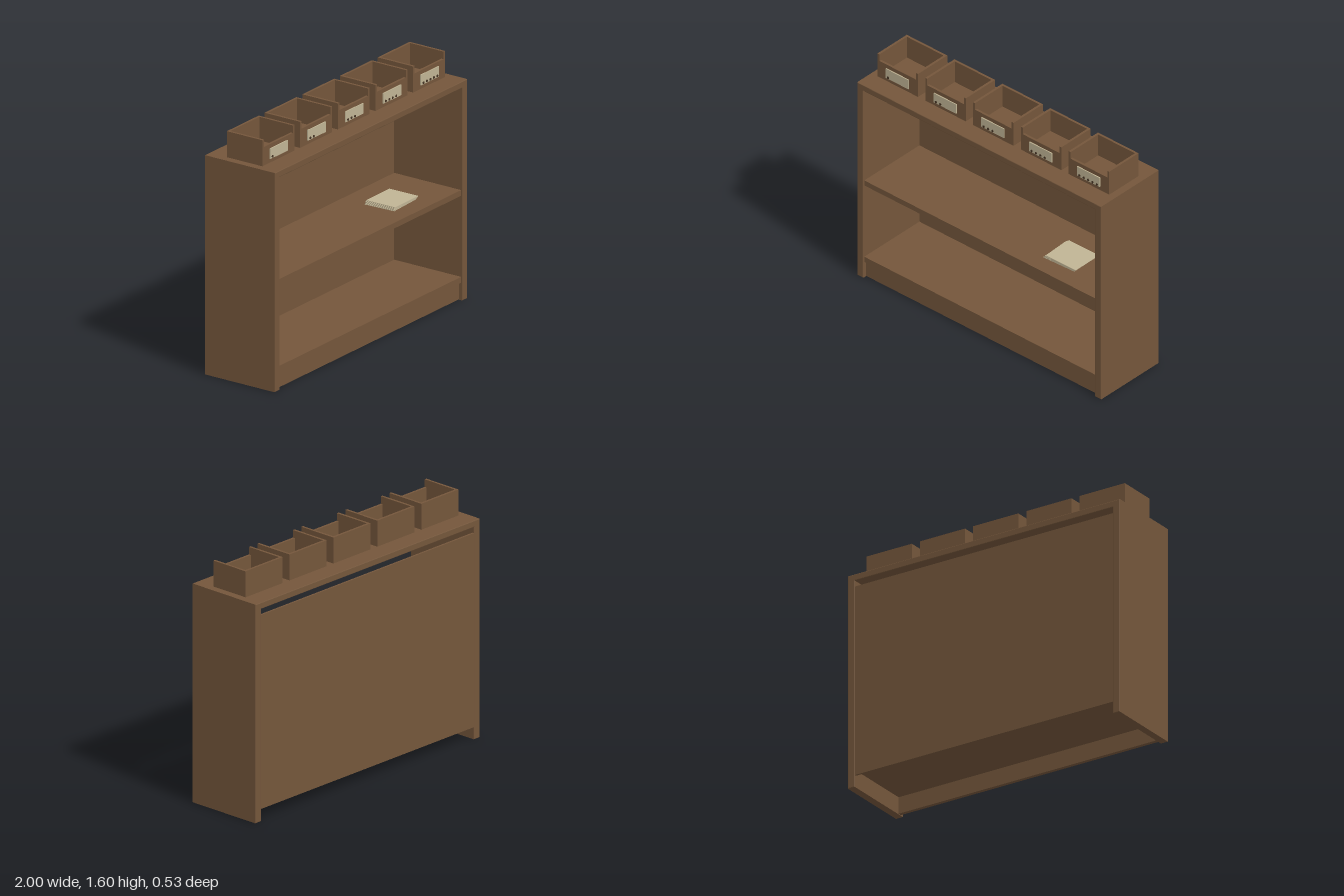
import * as THREE from 'three';

const wood = new THREE.MeshStandardMaterial({ color: 0x74563b });
wood.name = 'wood';
const paper = new THREE.MeshStandardMaterial({ color: 0xc0b494 });
paper.name = 'paper';
const ink = new THREE.MeshStandardMaterial({ color: 0x453424 });
ink.name = 'ink';

// Box given by its lower and upper corners
function block(name, material, x0, x1, y0, y1, z0, z1) {
  const mesh = new THREE.Mesh(new THREE.BoxGeometry(x1 - x0, y1 - y0, z1 - z0), material);
  mesh.position.set((x0 + x1) / 2, (y0 + y1) / 2, (z0 + z1) / 2);
  mesh.name = name;
  return mesh;
}

// Sides and top as one arch with finely bevelled edges
function createFrame() {
  const b = 0.004, W = 1 - b, H = 1.432 - b, inX = 0.95 + b, inY = 1.39 + b;
  const outline = [[-W, b], [-inX, b], [-inX, inY], [inX, inY], [inX, b], [W, b], [W, H], [-W, H]];
  const shape = new THREE.Shape(outline.map(([x, y]) => new THREE.Vector2(x, y)));
  const depth = 0.53 - 2 * b;
  const geometry = new THREE.ExtrudeGeometry(shape, {
    depth, bevelEnabled: true, bevelThickness: b, bevelSize: b, bevelSegments: 2,
  });
  geometry.translate(0, 0, -depth / 2);
  const mesh = new THREE.Mesh(geometry, wood);
  mesh.name = 'frame';
  return mesh;
}

// Open box with a lowered front, a label and a count of dots
function createBin(count) {
  const bin = new THREE.Group();
  const w = 0.166, d = 0.134, t = 0.016, y0 = 1.432, y1 = 1.602;
  bin.add(
    block('binFloor', wood, -w + t, w - t, y0, y0 + t, -d + t, d - t),
    block('binBack', wood, -w + t, w - t, y0, y1, -d, -d + t),
    block('binFront', wood, -w + t, w - t, y0, 1.553, d - t, d),
    block('binSideRight', wood, -w, -w + t, y0, y1, -d, d),
    block('binSideLeft', wood, w - t, w, y0, y1, -d, d),
    block('label', paper, -0.093, 0.093, 1.458, 1.526, d, d + 0.007),
  );
  for (let i = 0; i < count; i++) {
    const dot = new THREE.Mesh(new THREE.CylinderGeometry(0.008, 0.008, 0.004, 12), ink);
    dot.rotation.x = Math.PI / 2;
    dot.position.set(-0.071 + i * 0.036, 1.47, d + 0.009);
    dot.name = 'dot';
    bin.add(dot);
  }
  bin.name = 'bin' + count;
  return bin;
}

// Pile of thin sheets, each slipped a little over the one below
function createPaperStack() {
  const stack = new THREE.Group();
  const n = 8, t = 0.0025;
  for (let i = 0; i < n; i++) {
    const sheet = block('sheet', paper, -0.122, 0.122, i * t, (i + 1) * t, -0.108, 0.108);
    sheet.position.x = (i / (n - 1) - 0.5) * 0.02;
    sheet.rotation.y = 0.05 - i * 0.006;
    stack.add(sheet);
  }
  stack.position.set(0.54, 0.72, 0.025);
  stack.name = 'paperStack';
  return stack;
}

export function createModel() {
  const model = new THREE.Group();
  model.name = 'shelfUnit';
  model.add(
    createFrame(),
    block('backPanel', wood, -0.95, 0.95, 0.08, 1.35, -0.263, -0.25),
    block('middleShelf', wood, -0.95, 0.95, 0.683, 0.72, -0.25, 0.255),
    block('bottomShelf', wood, -0.95, 0.95, 0.115, 0.153, -0.25, 0.255),
    block('kickBoard', wood, -0.95, 0.95, 0.004, 0.115, 0.215, 0.24),
    createPaperStack(),
  );
  // Row of bins along the top
  for (let i = 0; i < 5; i++) {
    const bin = createBin(i + 1);
    bin.position.x = (i - 2) * 0.392;
    model.add(bin);
  }
  return model;
}
